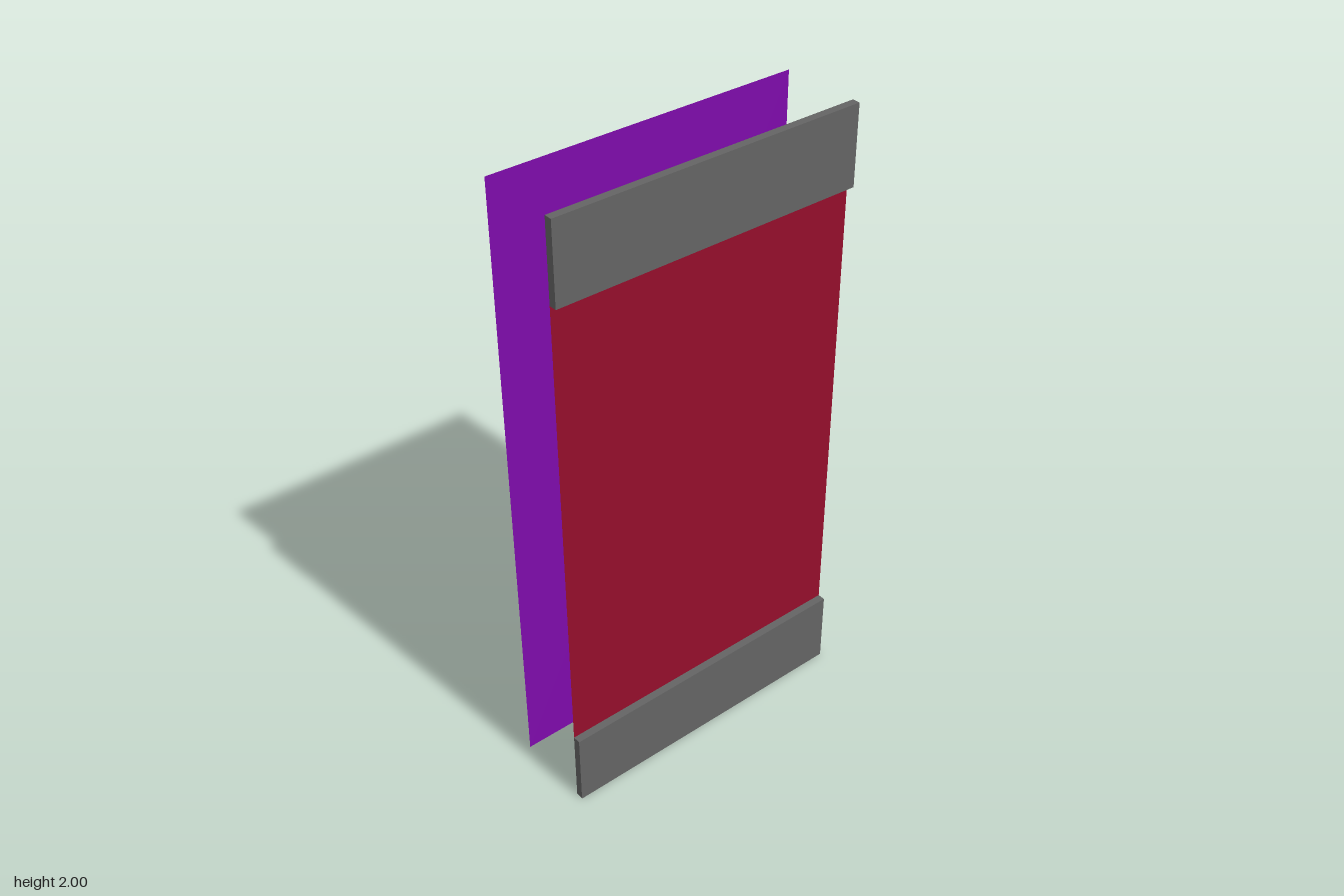
import * as THREE from 'three';

export function createModel() {
  const group = new THREE.Group();
  const width = 1, height = 2, barHeight = 0.248, barDepth = 0.025;
  const frontZ = 0.1375, backZ = -0.1375;

  const add = (name, geometry, color, y, z, side = THREE.FrontSide) => {
    const mesh = new THREE.Mesh(geometry, new THREE.MeshStandardMaterial({ color, side }));
    mesh.name = name;
    mesh.position.set(0, y, z);
    group.add(mesh);
  };

  // Thin bars across the top and bottom of the front
  const barGeometry = new THREE.BoxGeometry(width, barHeight, barDepth);
  const barZ = frontZ - barDepth / 2;
  add('bottomBar', barGeometry, 0x646464, barHeight / 2, barZ);
  add('topBar', barGeometry, 0x646464, height - barHeight / 2, barZ);

  // Sheet between the bars, level with their back faces
  add('frontPanel', new THREE.PlaneGeometry(width, height - 2 * barHeight), 0x940e2b,
    height / 2, frontZ - barDepth, THREE.DoubleSide);

  // Full-height sheet standing behind
  add('backPanel', new THREE.PlaneGeometry(width, height), 0x7e0baa,
    height / 2, backZ, THREE.DoubleSide);

  return group;
}
